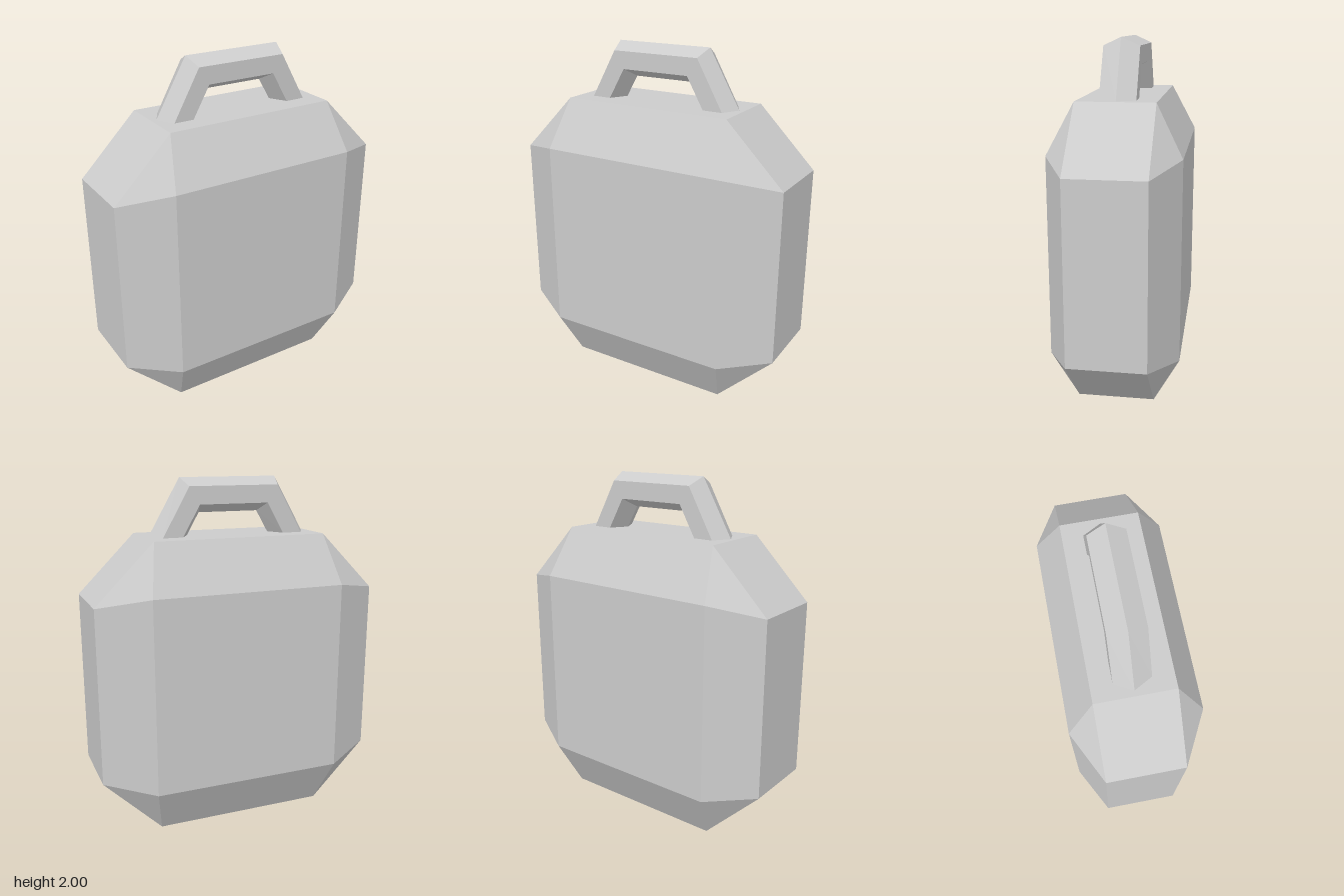
import * as THREE from 'three';
import { ConvexGeometry } from 'three/addons/geometries/ConvexGeometry.js';

const material = new THREE.MeshStandardMaterial({ color: 0xcccccc, flatShading: true });

// Chamfered slab: octagonal outline tapering to smaller front and back rectangles
function createBody() {
  const points = [];
  for (const sx of [-1, 1]) for (const sy of [-1, 1]) for (const sz of [-1, 1]) {
    const add = (x, y, z) => points.push(new THREE.Vector3(sx * x, 0.84 + sy * y, sz * z));
    add(0.505, 0.84, 0.215);
    add(0.84, 0.505, 0.215);
    add(0.56, 0.56, 0.36);
  }
  const body = new THREE.Mesh(new ConvexGeometry(points), material);
  body.name = 'body';
  return body;
}

// Hexagonal bar swept through four mitred stations: foot, corner, corner, foot
function createHandle() {
  const halfDepth = 0.1;
  const ring = (sx, outer, outerEdge, innerEdge, inner) => [
    [outer, 0], [outerEdge, 1], [innerEdge, 1], [inner, 0], [innerEdge, -1], [outerEdge, -1],
  ].map(([[x, y], z]) => [sx * x, y, z * halfDepth]);
  const foot = (sx) => ring(sx, [0.475, 1.68], [0.42, 1.68], [0.305, 1.68], [0.25, 1.68]);
  const corner = (sx) => ring(sx, [0.29, 2.0], [0.265, 1.955], [0.205, 1.855], [0.178, 1.805]);
  const rings = [foot(1), corner(1), corner(-1), foot(-1)];

  const positions = [];
  for (let i = 0; i < rings.length - 1; i++) {
    for (let j = 0; j < 6; j++) {
      const k = (j + 1) % 6;
      const a = rings[i][j], b = rings[i][k], c = rings[i + 1][k], d = rings[i + 1][j];
      positions.push(...a, ...d, ...c, ...a, ...c, ...b);
    }
  }
  const geometry = new THREE.BufferGeometry();
  geometry.setAttribute('position', new THREE.Float32BufferAttribute(positions, 3));
  geometry.computeVertexNormals();
  const handle = new THREE.Mesh(geometry, material);
  handle.name = 'handle';
  return handle;
}

export function createModel() {
  const model = new THREE.Group();
  model.name = 'canister';
  model.add(createBody(), createHandle());
  return model;
}
